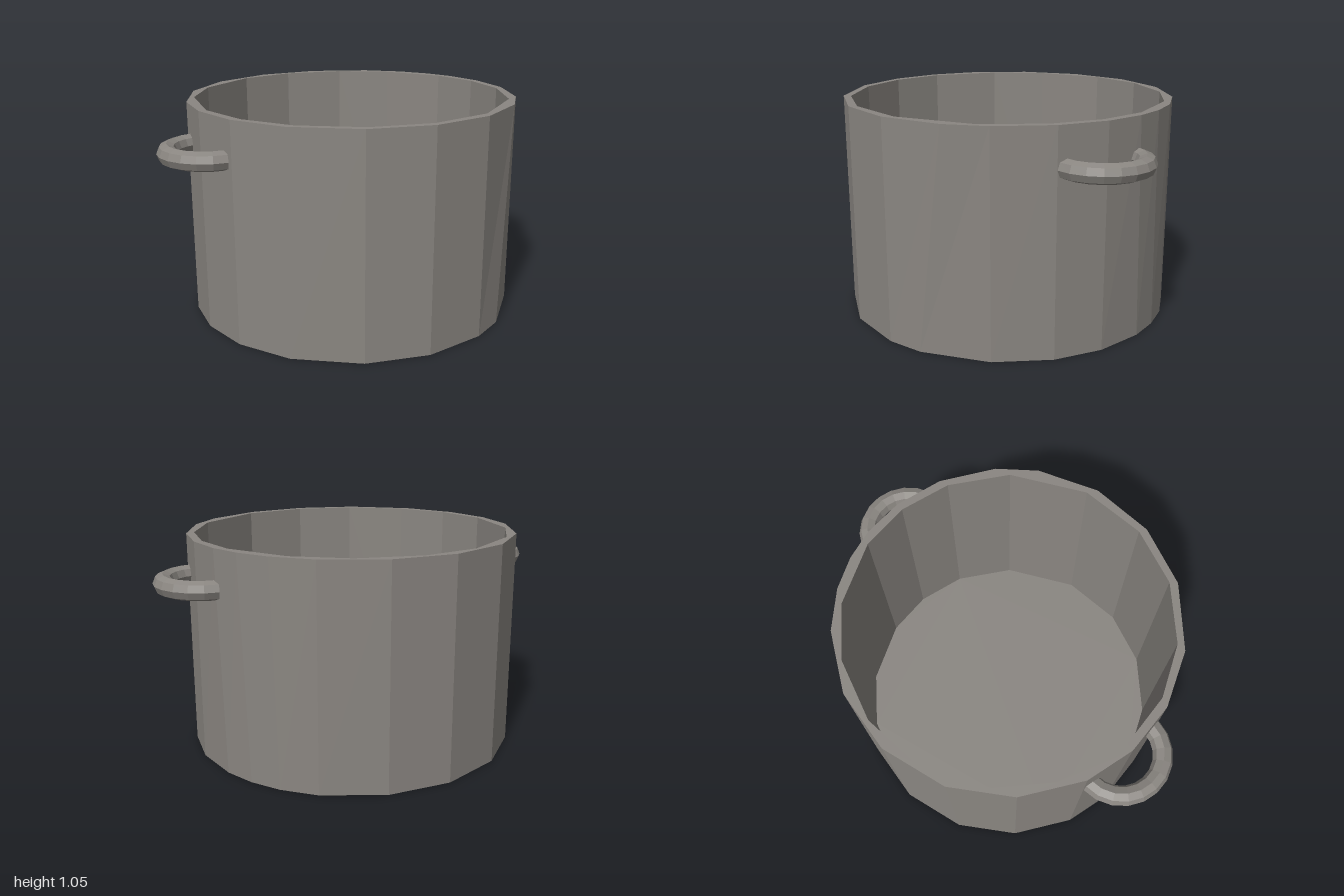
import * as THREE from 'three';

const HEIGHT = 1.055, FLOOR_Y = 0.015;
const OUTER_R = 0.807, INNER_R = 0.77;

// Uneven facet corners, in degrees from +x towards +z
const OUTER_TOP = [0, 17, 37, 52, 74, 96, 118, 142, 162, 180, 197, 219, 241, 264, 286, 308, 323, 335, 346];
const OUTER_BOTTOM = [0, 17, 37, 61, 74, 96, 118, 142, 162, 180, 197, 219, 241, 264, 286, 308, 321, 332, 343];
const INNER = [0, 19, 42, 71, 95, 117, 140, 160, 180, 206, 227, 253, 274, 297, 318, 342];

const material = new THREE.MeshStandardMaterial({
  color: 0x8a8681, flatShading: true, side: THREE.DoubleSide,
});

function outline(angles, radius) {
  return angles.map((deg) => {
    const a = THREE.MathUtils.degToRad(deg);
    return new THREE.Vector2(radius * Math.cos(a), radius * Math.sin(a));
  });
}

function addMesh(parent, name, geometry) {
  const mesh = new THREE.Mesh(geometry, material);
  mesh.name = name;
  parent.add(mesh);
  return mesh;
}

// Faceted wall between two outlines; inward reverses the faces
function wall(bottom, top, inward) {
  const positions = [], index = [], n = top.length;
  for (let i = 0; i < n; i++) {
    positions.push(bottom[i].x, 0, bottom[i].y, top[i].x, HEIGHT, top[i].y);
    const a = 2 * i, b = a + 1, c = 2 * ((i + 1) % n), d = c + 1;
    if (inward) index.push(a, c, b, b, c, d);
    else index.push(a, b, c, b, d, c);
  }
  const geometry = new THREE.BufferGeometry();
  geometry.setAttribute('position', new THREE.Float32BufferAttribute(positions, 3));
  geometry.setIndex(index);
  geometry.computeVertexNormals();
  return geometry;
}

// Horizontal face with an optional hole; facing is 1 for down, -1 for up
function flatFace(points, hole, y, facing) {
  const flip = (list) => list.map((p) => new THREE.Vector2(p.x, p.y * facing));
  const shape = new THREE.Shape(flip(points));
  if (hole) shape.holes.push(new THREE.Path(flip(hole)));
  return new THREE.ShapeGeometry(shape).rotateX(facing * Math.PI / 2).translate(0, y, 0);
}

// Half-loop grip on one side of the pot
function handleGeometry(side) {
  const points = [];
  for (let i = 0; i <= 10; i++) {
    const a = -Math.PI / 2 + (i / 10) * Math.PI;
    points.push(new THREE.Vector3(side * (0.768 + 0.187 * Math.cos(a)), 0.865, 0.193 * Math.sin(a)));
  }
  return new THREE.TubeGeometry(new THREE.CatmullRomCurve3(points), 10, 0.046, 8, false);
}

export function createModel() {
  const pot = new THREE.Group();
  pot.name = 'cookingPot';

  const top = outline(OUTER_TOP, OUTER_R);
  const bottom = outline(OUTER_BOTTOM, OUTER_R);
  const inner = outline(INNER, INNER_R);

  // Body
  addMesh(pot, 'outerWall', wall(bottom, top, false));
  addMesh(pot, 'innerWall', wall(inner, inner, true));
  addMesh(pot, 'topRim', flatFace(top, inner, HEIGHT, -1));
  addMesh(pot, 'bottomRim', flatFace(bottom, inner, 0, 1));

  // Floor, set slightly above the bottom rim
  addMesh(pot, 'floor', flatFace(inner, null, FLOOR_Y, -1));

  // Handles
  addMesh(pot, 'leftHandle', handleGeometry(1));
  addMesh(pot, 'rightHandle', handleGeometry(-1));

  return pot;
}
